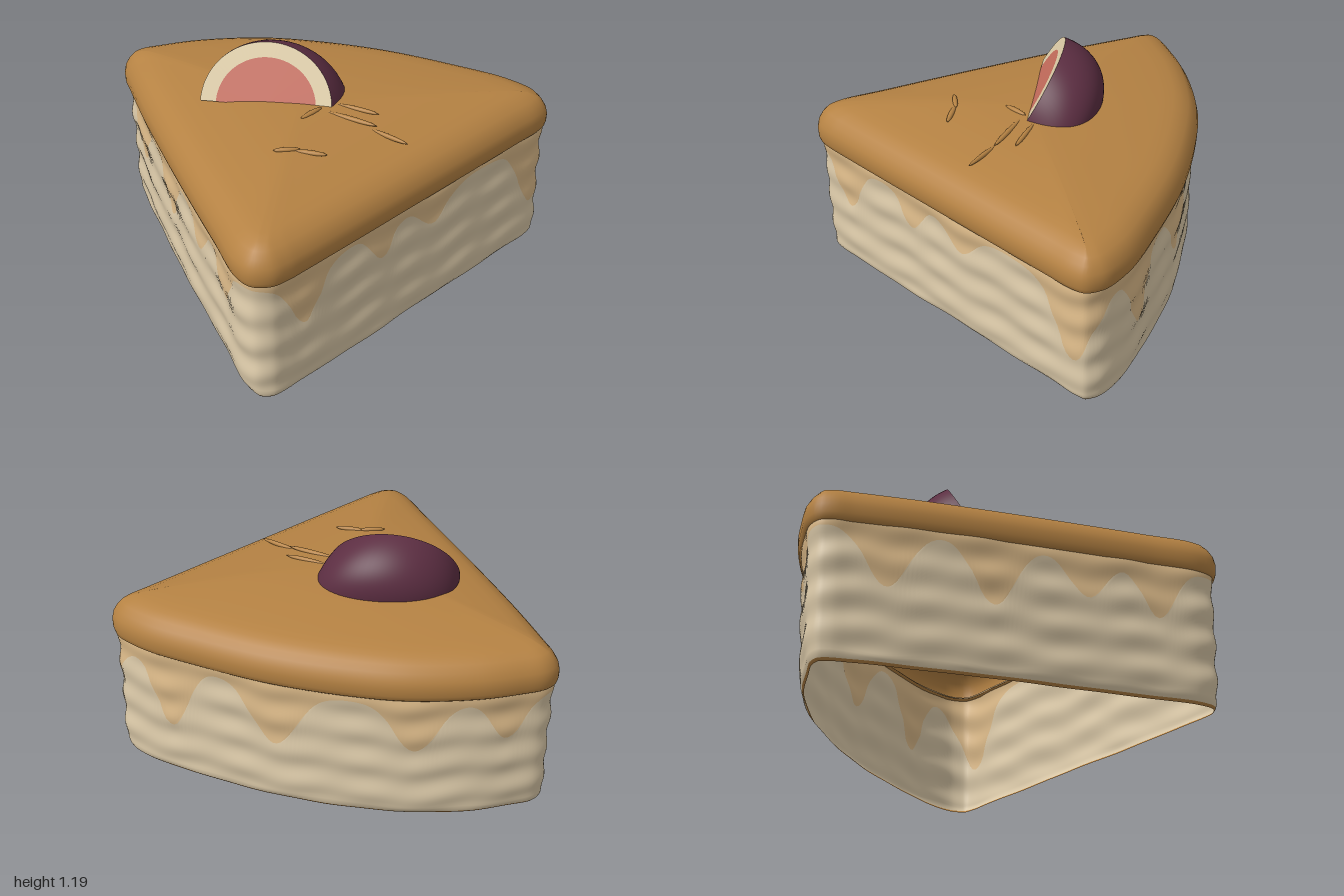
import * as THREE from 'three';

const mat = (name, color, side = THREE.DoubleSide) => {
  const m = new THREE.MeshStandardMaterial({ color, side });
  m.name = name;
  return m;
};

// Plan outline of the slice (x, z): straight side, curved crust, straight side
const PLAN = [
  [-0.95, 0.86], [-0.949, 0.6], [-0.945, 0.3], [-0.935, -0.1], [-0.918, -0.5], [-0.895, -0.8],
  [-0.885, -0.9], [-0.855, -0.965], [-0.78, -1], [-0.65, -0.993], [-0.45, -0.96], [-0.13, -0.845],
  [0.13, -0.685], [0.42, -0.45], [0.69, -0.16], [0.86, 0.05], [0.94, 0.21], [0.948, 0.27], [0.932, 0.34],
  [0.87, 0.386], [0.72, 0.444], [0.4, 0.565], [0, 0.715], [-0.4, 0.865], [-0.65, 0.957],
  [-0.73, 0.985], [-0.82, 1], [-0.91, 0.96],
];
// Icing drips: x, z, depth, width
const DRIPS = [
  [-0.63, 0.92, 0.3, 0.12], [-0.16, 0.78, 0.18, 0.1], [0.17, 0.66, 0.16, 0.13], [0.86, 0.37, 0.41, 0.15],
  [0.78, -0.05, 0.37, 0.13], [0.4, -0.47, 0.32, 0.16], [-0.17, -0.86, 0.27, 0.14], [-0.6, -0.98, 0.22, 0.11],
  [-0.92, -0.65, 0.28, 0.13], [-0.94, -0.15, 0.3, 0.13], [-0.94, 0.3, 0.2, 0.12], [-0.95, 0.65, 0.25, 0.11],
];
const N = 300;
const CENTRE = new THREE.Vector3(-0.28, 0, 0.05);

export function createModel() {
  const group = new THREE.Group();
  group.name = 'cakeSlice';
  const icing = mat('caramel icing', 0xb58243);
  const sponge = mat('cream sponge', 0xdccaa9);
  const drip = mat('soaked drip', 0xdcba89);
  const skin = mat('fruit skin', 0x5c2e42);
  const rind = mat('fruit rind', 0xdccba6);
  const flesh = mat('fruit flesh', 0xc56c5c);

  const add = (name, geometry, material, parent = group) => {
    const mesh = new THREE.Mesh(geometry, material);
    mesh.name = name;
    parent.add(mesh);
    return mesh;
  };

  const curve = new THREE.CatmullRomCurve3(PLAN.map(([x, z]) => new THREE.Vector3(x, 0, z)), true);
  curve.arcLengthDivisions = 1500;
  const ring = curve.getSpacedPoints(N).slice(0, N);
  const normals = ring.map((_, i) => {
    const t = ring[(i + 1) % N].clone().sub(ring[(i + N - 1) % N]).normalize();
    return new THREE.Vector3(t.z, 0, -t.x);
  });

  // Closed loft of rows; point(i, j) gives a vertex
  const loft = (rows, point) => {
    const pos = [], index = [];
    for (let j = 0; j < rows; j++) {
      for (let i = 0; i < N; i++) {
        pos.push(...point(i, j).toArray());
        if (j === rows - 1) continue;
        const a = j * N + i, b = j * N + (i + 1) % N;
        index.push(a, a + N, b, b, a + N, b + N);
      }
    }
    const g = new THREE.BufferGeometry();
    g.setAttribute('position', new THREE.Float32BufferAttribute(pos, 3));
    g.setIndex(index);
    g.computeVertexNormals();
    return g;
  };
  const inset = (i, d, y) => ring[i].clone().addScaledVector(normals[i], -d).setY(y);

  // Gently layered sponge wall, rounded under at the foot
  const wall = (i, y) => {
    const u = i / N * Math.PI * 2;
    const layers = Math.sin(y * 36 + 2.9 + 0.6 * Math.sin(3 * u) + 0.35 * Math.sin(10 * u + 1));
    const lumps = Math.sin(13 * u + y * 9) * Math.sin(y * 23 + 5 * u);
    const foot = Math.max(0, 1 - y / 0.05) ** 2 * 0.035;
    return inset(i, 0.036 - 0.018 * y - 0.0055 * layers - 0.003 * lumps + foot, y);
  };
  const dripEdge = ring.map((p) => {
    let y = 0.655;
    for (const [x, z, depth, w] of DRIPS) y -= depth * Math.exp(-(((p.x - x) ** 2 + (p.z - z) ** 2) / w ** 2));
    return Math.max(y, 0.22);
  });
  const strip = (rows, lo, hi) =>
    loft(rows, (i, j) => wall(i, THREE.MathUtils.lerp(lo(i), hi(i), j / (rows - 1))));
  add('bottomCrust', strip(4, () => 0.008, () => 0.02), icing);
  add('spongeWall', strip(36, () => 0.02, (i) => dripEdge[i]), sponge);
  add('icingDrips', strip(24, (i) => dripEdge[i], () => 0.7), drip);

  // Domed icing shell: inset, height, pull towards the centre
  const slab = [
    [0.03, 0.69, 0], [0.02, 0.677, 0], [0.01, 0.685, 0], [0.002, 0.71, 0], [0, 0.75, 0],
    [0.008, 0.785, 0], [0.028, 0.82, 0], [0.055, 0.85, 0], [0.08, 0.87, 0.02], [0.085, 0.884, 0.06],
    [0.085, 0.897, 0.15], [0.08, 0.914, 0.32], [0.07, 0.931, 0.52], [0.05, 0.942, 0.75], [0, 0.946, 1],
  ];
  add('icingTop', loft(slab.length, (i, j) => {
    const [d, y, k] = slab[j];
    return inset(i, d, y).lerp(CENTRE.clone().setY(y), k);
  }), icing);

  // Small raised cracks: start x, z, end x, z, width
  [
    [-0.2, 0.13, -0.02, 0.36, 0.014], [-0.06, 0.32, 0.06, 0.53, 0.012], [-0.12, 0.1, 0.03, 0.27, 0.013],
    [-0.33, 0.16, -0.2, 0.11, 0.014], [-0.55, 0.35, -0.43, 0.39, 0.013], [-0.46, 0.38, -0.33, 0.48, 0.014],
  ].forEach(([x0, z0, x1, z1, w]) => {
    const crack = add('icingCrack', new THREE.SphereGeometry(1, 12, 8), icing);
    const x = (x0 + x1) / 2, z = (z0 + z1) / 2;
    const d = 0.36 * (x - CENTRE.x) + 0.93 * (z - CENTRE.z);
    crack.position.set(x, 0.946 - 0.15 * d * d, z);
    crack.rotation.y = -Math.atan2(z1 - z0, x1 - x0);
    crack.scale.set(Math.hypot(x1 - x0, z1 - z0) / 2, 0.012, w);
  });

  // Cut fruit leaning back on the icing
  const fruit = new THREE.Group();
  fruit.name = 'cutFruit';
  fruit.position.set(-0.43, 0.925, -0.045);
  fruit.rotation.set(-0.52, -0.58, 0, 'YXZ');
  fruit.scale.set(0.325, 0.31, 0.38);
  group.add(fruit);

  // Skin: a wedge of a sphere from the cut face to the icing, fuller behind and towards one end
  const WEDGE = 0.967;
  const skinGeometry = new THREE.SphereGeometry(1, 24, 40, Math.PI, WEDGE).rotateZ(Math.PI / 2);
  const p = skinGeometry.attributes.position;
  for (let i = 0; i < p.count; i++) {
    const x = p.getX(i), y = p.getY(i), b = -p.getZ(i);
    const swell = 1 + 0.1 * Math.sin(Math.PI * Math.atan2(b, y) / WEDGE) * Math.hypot(y, b);
    p.setXYZ(i, x * (1 + 0.45 * b) + 0.25 * b, y * swell, -b * swell);
  }
  skinGeometry.computeVertexNormals();
  add('fruitSkin', skinGeometry, skin, fruit);
  add('fruitRind', new THREE.RingGeometry(0.76, 1, 48, 1, 0, Math.PI), rind, fruit);
  add('fruitFlesh', new THREE.CircleGeometry(0.76, 48, 0, Math.PI), flesh, fruit);

  return group;
}
